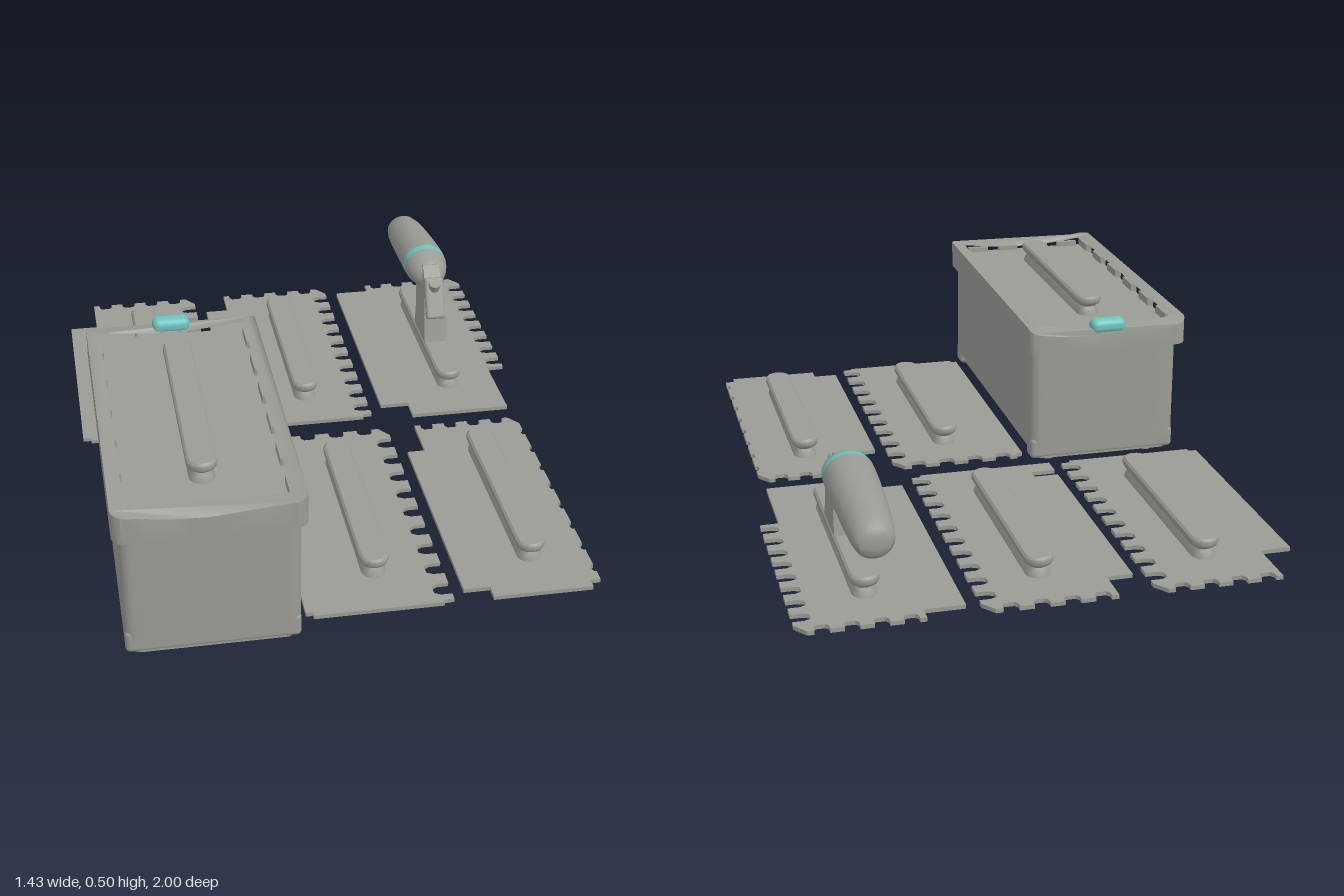
import * as THREE from 'three';
import { toCreasedNormals } from 'three/addons/utils/BufferGeometryUtils.js';
import { RoundedBoxGeometry } from 'three/addons/geometries/RoundedBoxGeometry.js';

const grey = new THREE.MeshStandardMaterial({ color: 0x9b9b95 });
grey.name = 'warm grey';
const teal = new THREE.MeshStandardMaterial({ color: 0x6cc4bf });
teal.name = 'teal';

function add(parent, name, geometry, x = 0, y = 0, z = 0, material = grey) {
  const mesh = new THREE.Mesh(geometry, material);
  mesh.name = name;
  mesh.position.set(x, y, z);
  parent.add(mesh);
  return mesh;
}

// Skin over equal-length rings of points, closed with a fan at both ends
function loft(rings) {
  const n = rings[0].length, pos = rings.flat(2), idx = [];
  for (let i = 0; i < rings.length - 1; i++) {
    for (let j = 0; j < n; j++) {
      const a = i * n + j, b = i * n + (j + 1) % n;
      idx.push(a, b, b + n, a, b + n, a + n);
    }
  }
  [0, rings.length - 1].forEach((r, end) => {
    const c = pos.length / 3;
    pos.push(...[0, 1, 2].map(k => rings[r].reduce((s, p) => s + p[k], 0) / n));
    for (let j = 0; j < n; j++) {
      const a = r * n + j, b = r * n + (j + 1) % n;
      if (end) idx.push(a, b, c); else idx.push(b, a, c);
    }
  });
  const g = new THREE.BufferGeometry();
  g.setAttribute('position', new THREE.Float32BufferAttribute(pos, 3));
  g.setIndex(idx);
  return toCreasedNormals(g, 0.7);
}

// Horizontal slab from an outline of [x, z] points
function slab(points, height, hole) {
  const path = pts => pts.map(([x, z]) => new THREE.Vector2(x, -z));
  const shape = new THREE.Shape(path(points));
  if (hole) shape.holes.push(new THREE.Path(path(hole)));
  const g = new THREE.ExtrudeGeometry(shape, { depth: height, bevelEnabled: false });
  return toCreasedNormals(g.rotateX(-Math.PI / 2), 0.6);
}

// Row of rounded notches from a to b, cut along the inward direction
function teeth([ax, az], [bx, bz], n, [dx, dz], duty = 0.52) {
  const out = [[ax, az]];
  const profile = [[0, 0], [0, 0.65], [0.2, 1], [0.8, 1], [1, 0.65], [1, 0]];
  for (let i = 0; i < n; i++) {
    for (const [u, d] of profile) {
      const t = (i + 0.5 + (u - 0.5) * duty) / n;
      out.push([ax + (bx - ax) * t + dx * d, az + (bz - az) * t + dz * d]);
    }
  }
  out.push([bx, bz]);
  return out;
}

// Grip rail: long stadium with a wide foot, narrow waist and wide top
function railGeometry(halfLength) {
  const levels = [[0, 0.036], [0.012, 0.034], [0.03, 0.024], [0.04, 0.038], [0.048, 0.042], [0.06, 0.041], [0.066, 0.035]];
  return loft(levels.map(([y, w]) => Array.from({ length: 18 }, (_, j) => {
    const end = j < 9 ? -1 : 1;
    const a = (j < 9 ? j : j - 1) / 8 * Math.PI;
    return [Math.cos(a) * w, y, -Math.sin(a) * w + end * (halfLength - 0.042)];
  })));
}

// Blade: stepped back corner, notched back and left edges, stepped or slotted front corner
function addBlade(model, name, [left, right, back, front], railX, railZ, options) {
  const { step, toothEnd, count, depth = 0.05, duty = 0.52, taper = 0.03, cut, slot } = options;
  const inner = left + step[0], side = right - taper;
  const outline = [
    [left, back + step[1]], [inner, back + step[1]],
    ...teeth([inner, back], [right - 0.03, back], 4, [0, 0.028]),
    ...teeth([right, back + 0.04], [right, toothEnd], count, [-depth, 0], duty),
    [side, toothEnd + 0.002], [side, front],
  ];
  if (cut) outline.push([left + cut[0], front], [left + cut[0], front - cut[1]], [left, front - cut[1]]);
  if (slot) {
    outline.push([left, front], [left, front - 0.06], [left + slot, front - 0.06],
      [left + slot, front - 0.095], [left, front - 0.095]);
  }
  add(model, name, slab(outline, 0.012), 0, 0.022, 0);
  add(model, name + 'Rail', railGeometry(0.328), railX, 0.03, railZ);
}

function buildBlades(model) {
  addBlade(model, 'backRightBlade', [-0.72, -0.27, -1, -0.085], -0.465, -0.535,
    { step: [0.09, 0.16], toothEnd: -0.1, count: 10, cut: [0.025, 0.015] });
  addBlade(model, 'backMiddleBlade', [-0.235, 0.21, -1, -0.085], 0.015, -0.535,
    { step: [0.075, 0.11], toothEnd: -0.1, count: 10, slot: 0.075 });
  addBlade(model, 'trowelBlade', [0.25, 0.71, -1, -0.07], 0.497, -0.535,
    { step: [0.115, 0.045], toothEnd: -0.33, count: 8, taper: 0.055, cut: [0.09, 0.075] });
  addBlade(model, 'frontMiddleBlade', [-0.175, 0.24, 0, 0.922], 0.045, 0.46,
    { step: [0.02, 0.015], toothEnd: 0.91, count: 9, cut: [0.02, 0.015] });
  addBlade(model, 'frontLeftBlade', [0.275, 0.665, 0, 0.92], 0.498, 0.46,
    { step: [0.055, 0.15], toothEnd: 0.89, count: 8, depth: 0.01, duty: 0.3, cut: [0.075, 0.045] });
}

function buildTrowelHandle(model) {
  const handle = new THREE.Group();
  handle.name = 'trowelHandle';
  handle.position.x = 0.497;
  model.add(handle);

  // Post, drawn as a side profile of [-z, y] and narrowed towards the top
  const side = [[0.42, 0.065], [0.445, 0.18], [0.49, 0.29], [0.54, 0.33], [0.6, 0.33], [0.6, 0.24], [0.575, 0.17], [0.588, 0.065]];
  const shape = new THREE.Shape(side.map(p => new THREE.Vector2(...p)));
  const post = new THREE.ExtrudeGeometry(shape, { depth: 0.076, bevelEnabled: false });
  post.translate(0, 0, -0.038).rotateY(Math.PI / 2);
  const p = post.attributes.position;
  for (let i = 0; i < p.count; i++) p.setX(i, p.getX(i) * (1 - Math.max(0, p.getY(i) - 0.18) * 2));
  post.computeVertexNormals();
  add(handle, 'post', post);
  const bracket = add(handle, 'postBracket', new RoundedBoxGeometry(0.066, 0.14, 0.03, 2, 0.01), 0, 0.24, -0.47);
  bracket.rotation.x = -0.42;
  const screw = add(handle, 'postScrew', new THREE.CylinderGeometry(0.02, 0.02, 0.03, 16), 0, 0.285, -0.475);
  screw.rotation.x = 0.5;

  // Grip cross-sections: z, centre height, half height, half width
  const grip = [
    [-0.522, 0.28, 0.018, 0.02], [-0.535, 0.285, 0.038, 0.045], [-0.56, 0.289, 0.05, 0.06], [-0.595, 0.293, 0.062, 0.07],
    [-0.61, 0.295, 0.064, 0.072], [-0.635, 0.295, 0.066, 0.073],
    [-0.7, 0.291, 0.066, 0.072], [-0.78, 0.284, 0.064, 0.07], [-0.86, 0.276, 0.062, 0.067],
    [-0.94, 0.266, 0.059, 0.061], [-0.98, 0.262, 0.053, 0.055], [-0.995, 0.261, 0.04, 0.044], [-1, 0.261, 0.02, 0.024]];
  const rings = grip.map(([z, cy, ry, rx]) => Array.from({ length: 24 }, (_, j) => {
    const a = j / 24 * Math.PI * 2;
    return [Math.cos(a) * rx, cy - Math.sin(a) * ry, z];
  }));
  add(handle, 'gripNeck', loft(rings.slice(0, 5)));
  add(handle, 'gripBand', loft(rings.slice(4, 6)), 0, 0, 0, teal);
  add(handle, 'grip', loft(rings.slice(5)));
}

// Rounded rectangle outline with subdivided short ends
function roundedOutline(hx, hz, r) {
  const out = [];
  [[1, 1], [-1, 1], [-1, -1], [1, -1]].forEach(([sx, sz], q) => {
    for (let k = 0; k <= 5; k++) {
      const a = (q + k / 5) * Math.PI / 2;
      out.push([sx * (hx - r) + Math.cos(a) * r, sz * (hz - r) + Math.sin(a) * r]);
    }
    if (q % 2 === 0) {
      for (let k = 1; k < 8; k++) out.push([sx * (hx - r) * (1 - k / 4), sz * hz]);
    }
  });
  return out;
}

function buildBox(model) {
  const box = new THREE.Group();
  box.name = 'storageBox';
  box.position.set(-0.4335, 0, 0.485);
  model.add(box);

  // Body with a shallow recess low on both long sides
  add(box, 'bodyUpper', slab(roundedOutline(0.238, 0.5, 0.03), 0.34), 0, 0.06, 0);
  add(box, 'bodyBase', slab(roundedOutline(0.215, 0.496, 0.02), 0.042), 0, 0.019, 0);
  for (const s of [-1, 1]) {
    add(box, 'bodyEnd', new RoundedBoxGeometry(0.474, 0.07, 0.06, 3, 0.015), 0, 0.053, s * 0.468);
    for (const t of [-1, 1]) {
      add(box, 'foot', new THREE.CylinderGeometry(0.024, 0.02, 0.022, 16), s * 0.165, 0.011, t * 0.44);
    }
  }

  // Lid rim, dipping in the middle of both short ends and sloping at the back
  const rim = slab(roundedOutline(0.256, 0.527, 0.035), 0.085, roundedOutline(0.217, 0.475, 0.02));
  const p = rim.attributes.position;
  for (let i = 0; i < p.count; i++) {
    if (p.getY(i) < 0.04) continue;
    const x = p.getX(i) / 0.256;
    const back = Math.max(0, -p.getZ(i) - 0.49) * 0.4;
    p.setY(i, p.getY(i) - 0.024 * (1 - x * x) - back);
  }
  add(box, 'lidRim', toCreasedNormals(rim, 0.6), 0, 0.382, -0.012);
  add(box, 'lidPanel', new THREE.BoxGeometry(0.45, 0.04, 0.965), 0, 0.413, -0.012);
  add(box, 'lidRail', railGeometry(0.352), 0, 0.43, 0);

  // Stacking ribs around the rim
  for (const s of [-1, 1]) {
    for (let i = 0; i < 6; i++) {
      add(box, 'sideRib', new THREE.BoxGeometry(0.02, 0.03, 0.09), s * 0.222, 0.442, -0.41 + i * 0.165);
    }
  }
  for (let i = 0; i < 4; i++) {
    add(box, 'frontRib', new THREE.BoxGeometry(0.07, 0.025, 0.018), -0.165 + i * 0.11, 0.436, 0.464);
  }
  add(box, 'latch', new RoundedBoxGeometry(0.112, 0.046, 0.052, 4, 0.02), 0, 0.457, -0.515, teal);
}

export function createModel() {
  const model = new THREE.Group();
  model.name = 'trowelSet';
  buildBlades(model);
  buildTrowelHandle(model);
  buildBox(model);
  return model;
}
